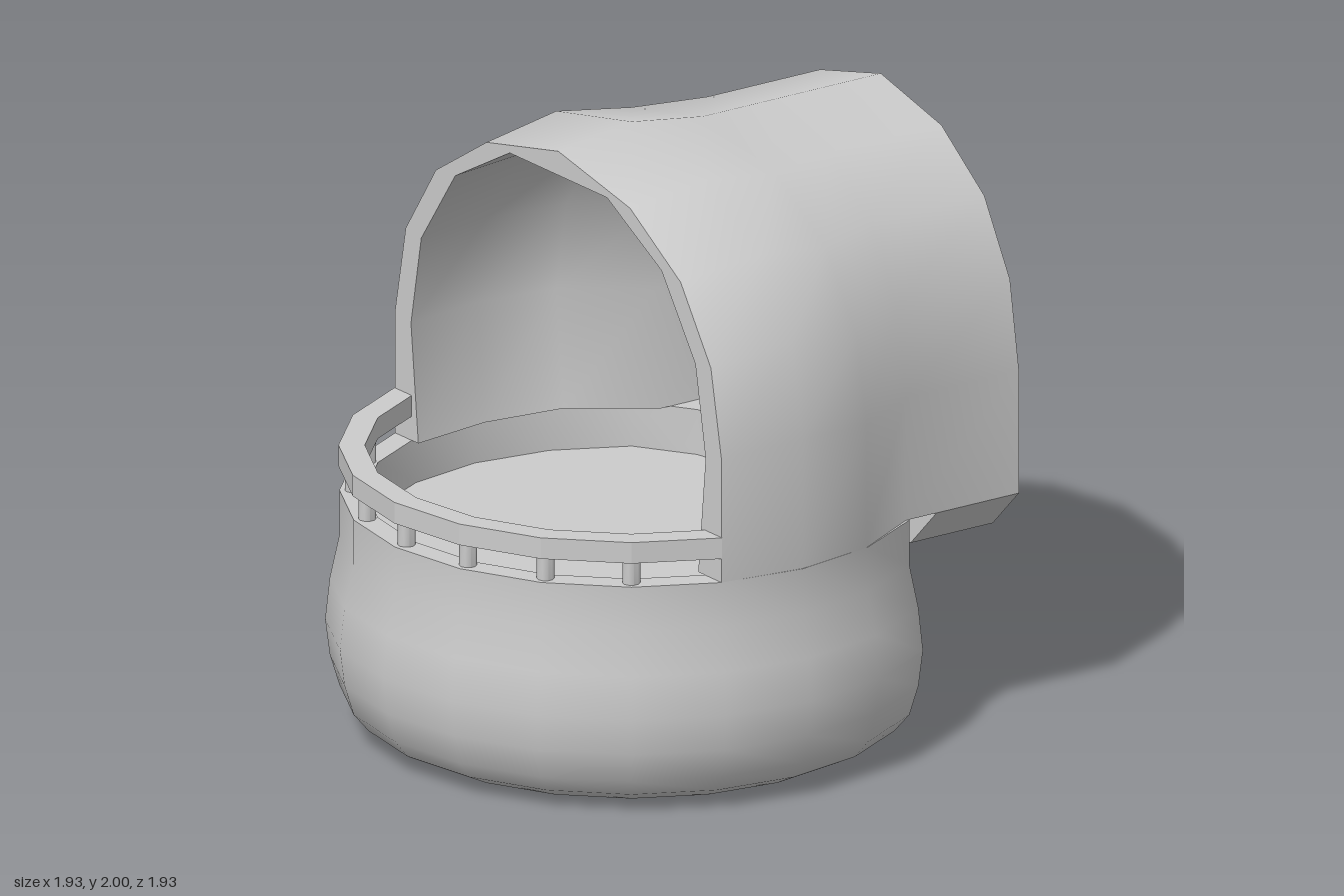
import * as THREE from 'three';
import { toCreasedNormals } from 'three/addons/utils/BufferGeometryUtils.js';

const SIDES = 20;
const FLOOR = 0.77;

// Skins a list of closed rings; extra quads can be added as end caps.
function loft(rings, caps = []) {
  const pos = [];
  const tri = (a, b, c) => {
    const n = new THREE.Vector3().subVectors(b, a).cross(new THREE.Vector3().subVectors(c, a));
    if (n.length() > 1e-9) pos.push(...a, ...b, ...c);
  };
  const quad = (a, b, c, d) => { tri(a, b, c); tri(a, c, d); };
  for (let j = 0; j < rings.length - 1; j++) {
    const n = rings[j].length;
    for (let i = 0; i < n; i++) {
      const k = (i + 1) % n;
      quad(rings[j][i], rings[j + 1][i], rings[j + 1][k], rings[j][k]);
    }
  }
  caps.forEach((q) => quad(...q));
  const geo = new THREE.BufferGeometry();
  geo.setAttribute('position', new THREE.Float32BufferAttribute(pos, 3));
  return toCreasedNormals(geo, 0.85);
}

// Round bowl ring, flattened at the back to z = -b.
function bowlRing([r, y, b]) {
  return Array.from({ length: SIDES }, (_, i) => {
    const a = (i / SIDES) * Math.PI * 2;
    const limit = Math.abs(Math.cos(a)) > 0.4 ? 0.93 * b : b;
    return new THREE.Vector3(r * Math.cos(a), y, Math.max(r * Math.sin(a), -limit));
  });
}

// Arch from right foot over the top to left foot, from a half profile.
function arch(half, w, z, lift) {
  const side = half.map(([x, y], i) => new THREE.Vector3(x * w, y + lift * Math.min(1, i / 2), z));
  const other = side.slice(0, -1).reverse().map((p) => new THREE.Vector3(-p.x, p.y, z));
  return [...side, ...other];
}

export function createModel() {
  const model = new THREE.Group();
  const material = new THREE.MeshStandardMaterial({ color: 0xcccccc, side: THREE.DoubleSide });
  const add = (name, geo, parent = model) => {
    const mesh = new THREE.Mesh(geo, material);
    mesh.name = name;
    parent.add(mesh);
    return mesh;
  };

  // Bowl base with a rim and a sunken floor: [radius, height, back depth]
  const bowl = [
    [0, 0, 0], [0.65, 0, 0.5], [0.78, 0.015, 0.53], [0.87, 0.06, 0.57], [0.92, 0.12, 0.59],
    [0.95, 0.22, 0.63], [0.965, 0.34, 0.68], [0.95, 0.48, 0.715], [0.92, 0.62, 0.735],
    [0.92, FLOOR, 0.735], [0.84, FLOOR, 0.66], [0.84, 0.62, 0.66], [0, 0.62, 0],
  ];
  add('bowlBase', loft(bowl.map(bowlRing)));

  // Canopy narrowing into the rear tunnel: [z, outer half width, inner half width, lift]
  const outer = [[1, FLOOR], [1, 1.18], [0.935, 1.47], [0.75, 1.71], [0.44, 1.88], [0, 1.96]];
  const inner = [[0.95, FLOOR], [1, 1.16], [0.93, 1.46], [0.7, 1.72], [0.33, 1.88], [0, 1.88]];
  const stations = [
    [0.285, 0.875, 0.79, 0], [0, 0.918, 0.83, 0.04], [-0.28, 0.875, 0.79, 0],
    [-0.53, 0.74, 0.6, 0], [-0.97, 0.74, 0.6, 0],
  ];
  const shells = stations.map(([z, wo, wi, lift]) => [arch(outer, wo, z, lift), arch(inner, wi, z, 0)]);
  const caps = [];
  const [fo, fi] = shells[0];
  const [bo, bi] = shells[shells.length - 1];
  for (let i = 0; i < fo.length - 1; i++) {
    caps.push([fo[i], fo[i + 1], fi[i + 1], fi[i]]);
    caps.push([bo[i], bi[i], bi[i + 1], bo[i + 1]]);
  }
  add('canopy', loft(shells.map(([o, n]) => [...o, ...n.slice().reverse()]), caps));

  // Rear tunnel floor with chamfered lower edges
  const slab = new THREE.Shape([[0.74, FLOOR], [-0.74, FLOOR], [-0.6, 0.63], [0.6, 0.63]]
    .map(([x, y]) => new THREE.Vector2(x, y)));
  add('tunnelFloor', new THREE.ExtrudeGeometry(slab, { depth: 0.32, bevelEnabled: false }))
    .position.z = -0.97;

  // Front railing: faceted handrail on small posts
  const railing = new THREE.Group();
  railing.name = 'railing';
  model.add(railing);
  const arc = (r) => Array.from({ length: 9 }, (_, i) => {
    const a = ((i + 1) * Math.PI) / 10;
    return new THREE.Vector2(r * Math.cos(a), r * Math.sin(a));
  });
  const railShape = new THREE.Shape([...arc(0.923), ...arc(0.84).reverse()]);
  const rail = new THREE.ExtrudeGeometry(railShape, { depth: 0.07, bevelEnabled: false });
  rail.rotateX(Math.PI / 2);
  add('handrail', rail, railing).position.y = 0.92;

  for (let i = 2; i <= 8; i++) {
    const a = (i * Math.PI) / 10;
    add('railPost', toCreasedNormals(new THREE.CylinderGeometry(0.028, 0.028, 0.09, 10), 0.85), railing)
      .position.set(0.875 * Math.cos(a), 0.81, 0.875 * Math.sin(a));
  }
  return model;
}
